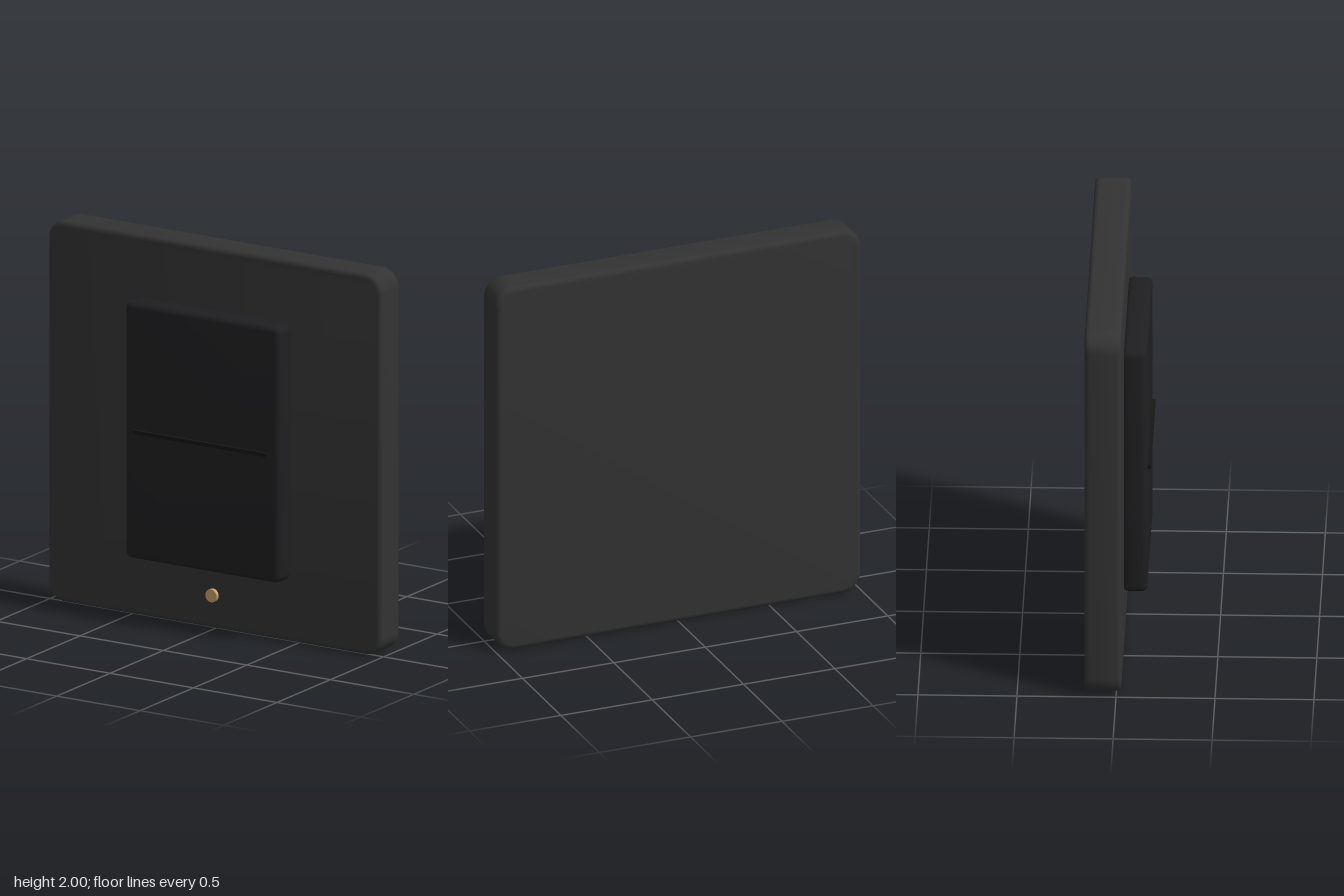
import * as THREE from 'three';
import { toCreasedNormals } from 'three/addons/utils/BufferGeometryUtils.js';

// Rounded slab standing in the xy plane, from z0 to z1, with softened front and back edges
function slab(width, height, z0, z1, radius, bevel) {
  const w = width / 2, h = height / 2, r = radius;
  const shape = new THREE.Shape();
  shape.absarc(w - r, h - r, r, 0, Math.PI / 2);
  shape.absarc(r - w, h - r, r, Math.PI / 2, Math.PI);
  shape.absarc(r - w, r - h, r, Math.PI, Math.PI * 1.5);
  shape.absarc(w - r, r - h, r, Math.PI * 1.5, Math.PI * 2);
  const geometry = new THREE.ExtrudeGeometry(shape, {
    depth: z1 - z0 - 2 * bevel,
    bevelThickness: bevel,
    bevelSize: bevel,
    bevelOffset: -bevel,
    bevelSegments: 4,
    curveSegments: 8,
  });
  geometry.translate(0, 0, z0 + bevel);
  return toCreasedNormals(geometry, 0.6);
}

export function createModel() {
  const group = new THREE.Group();
  const add = (name, geometry, color, y, z = 0) => {
    const mesh = new THREE.Mesh(geometry, new THREE.MeshStandardMaterial({ color }));
    mesh.name = name;
    mesh.position.set(0, y, z);
    group.add(mesh);
    return mesh;
  };

  // Square wall plate
  add('wallPlate', slab(2, 2, -0.16, 0.025, 0.1, 0.026), 0x333333, 1);

  // Raised rocker with its centre ridge
  add('rocker', slab(0.93, 1.345, 0.015, 0.143, 0.04, 0.03), 0x1f1f21, 1.003);
  add('centreRidge', new THREE.BoxGeometry(0.8, 0.02, 0.03), 0x161616, 1.003, 0.145);

  // Small indicator disc standing just proud of the plate
  const disc = new THREE.CylinderGeometry(0.034, 0.034, 0.02, 24).rotateX(Math.PI / 2);
  add('indicator', disc, 0xc8a06a, 0.18, 0.045);

  return group;
}
